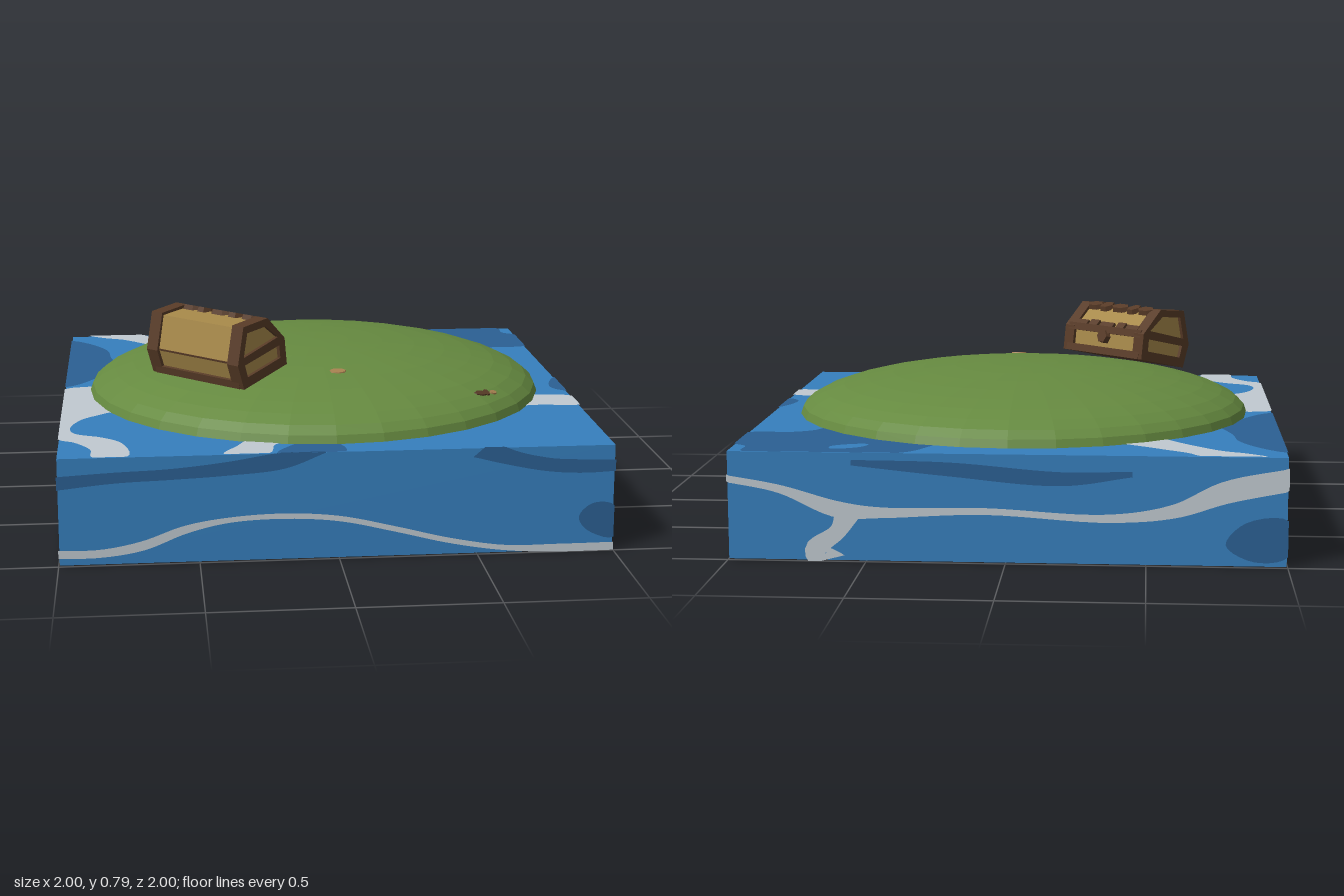
import * as THREE from 'three';

const mat = (name, color, extra = {}) => {
  const m = new THREE.MeshStandardMaterial({ color, ...extra });
  m.name = name;
  return m;
};

export function createModel() {
  const M = {
    water: mat('water blue', 0x367fbd),
    deep: mat('deep blue', 0x2b6093),
    foam: mat('foam grey', 0xc0c9d0),
    grass: mat('grass green', 0x668a40, { flatShading: true }),
    wood: mat('wood tan', 0xa68849, { flatShading: true }),
    trim: mat('dark brown trim', 0x583b27, { flatShading: true }),
    clay: mat('clay', 0xa88250),
  };
  const root = new THREE.Group();
  const add = (parent, name, geo, material, x = 0, y = 0, z = 0) => {
    const m = new THREE.Mesh(geo, material);
    m.name = name;
    m.position.set(x, y, z);
    parent.add(m);
    return m;
  };

  // Water block
  add(root, 'waterBlock', new THREE.BoxGeometry(1.992, 0.392, 1.992), M.water, 0, 0.2, 0);

  // Each face: rotation, plane distance, sign of the two face coordinates
  const faces = {
    front: { r: [0, 0], n: [0, 0, 1], s: [1, 1] },
    right: { r: [0, Math.PI / 2], n: [1, 0, 0], s: [-1, 1] },
    back: { r: [0, Math.PI], n: [0, 0, -1], s: [-1, 1] },
    left: { r: [0, -Math.PI / 2], n: [-1, 0, 0], s: [1, 1] },
    top: { r: [-Math.PI / 2, 0], n: [0, 1, 0], s: [1, -1], flat: true },
    bottom: { r: [Math.PI / 2, 0], n: [0, -1, 0], s: [1, 1], flat: true },
  };
  const plate = (face, layer, pts) => {
    const f = faces[face];
    const lim = THREE.MathUtils.clamp;
    const shape = new THREE.Shape(pts.map((p) => new THREE.Vector2(
      f.s[0] * lim(p.x, -1, 1), f.s[1] * lim(p.y, f.flat ? -1 : 0, f.flat ? 1 : 0.4))));
    const lift = { deep: 0.002, water: 0.003, foam: 0.004 }[layer] - 0.004;
    const m = add(root, face + '_' + layer, new THREE.ShapeGeometry(shape), M[layer]);
    m.rotation.set(f.r[0], f.r[1], 0);
    m.position.set(...f.n).multiplyScalar(1 + lift);
    if (face === 'top') m.position.y = 0.4 + lift;
    if (face === 'bottom') m.position.y = -lift;
  };
  // Patch: rounded outline; cut ends at the block edge stay straight by clamping
  const patch = (face, layer, list) => {
    const c = new THREE.CatmullRomCurve3(list.map(([a, b]) => new THREE.Vector3(a, b, 0)), true, 'centripetal');
    plate(face, layer, c.getPoints(list.length * 5).slice(0, -1));
  };
  // Stripe: centre line points with a width each
  const stripe = (face, layer, list) => {
    const c = new THREE.CatmullRomCurve3(list.map(([a, b, w]) => new THREE.Vector3(a, b, w)));
    const n = list.length * 6, one = [], two = [];
    for (let i = 0; i <= n; i++) {
      const p = c.getPoint(i / n), t = c.getTangent(i / n).setZ(0).normalize();
      const o = new THREE.Vector2(-t.y, t.x).multiplyScalar(p.z / 2);
      one.push(new THREE.Vector2(p.x + o.x, p.y + o.y));
      two.unshift(new THREE.Vector2(p.x - o.x, p.y - o.y));
    }
    plate(face, layer, one.concat(two));
  };

  // Top pattern (x, z)
  patch('top', 'foam', [[-0.92, -1], [-0.85, -0.94], [-0.77, -0.9], [-0.65, -0.78], [-0.5, -0.62], [-0.38, -0.73], [-0.53, -0.86], [-0.65, -0.95], [-0.69, -1]]);
  patch('top', 'foam', [[-1, 0], [-0.94, -0.03], [-0.88, -0.03], [-0.78, 0.1], [-0.78, 0.34], [-0.85, 0.41], [-0.92, 0.48], [-0.96, 0.6], [-0.94, 0.68], [-0.84, 0.74], [-0.77, 0.82], [-0.75, 1], [-0.87, 1], [-0.88, 0.9], [-0.94, 0.8], [-1, 0.75]]);
  patch('top', 'foam', [[-0.41, 1], [-0.36, 0.9], [-0.28, 0.78], [-0.12, 0.8], [-0.22, 0.89], [-0.25, 1]]);
  patch('top', 'foam', [[1, 0.29], [0.78, 0.28], [0.72, 0.42], [0.85, 0.42], [1, 0.43]]);
  patch('top', 'deep', [[-1, -0.9], [-0.93, -0.85], [-0.84, -0.7], [-0.82, -0.55], [-0.78, -0.35], [-0.87, -0.2], [-0.95, -0.08], [-1, -0.05]]);
  patch('top', 'deep', [[0.38, -1], [0.29, -0.88], [0.26, -0.75], [0.68, -0.38], [0.75, -0.55], [0.83, -0.6], [1, -0.62], [1, -0.85], [0.95, -0.9], [0.94, -1]]);
  patch('top', 'water', [[0.51, -0.84], [0.53, -0.9], [0.63, -0.94], [0.64, -0.89], [0.56, -0.84]]);
  patch('top', 'deep', [[-0.22, 1], [-0.18, 0.92], [-0.1, 0.85], [0, 0.88], [0.02, 1]]);
  patch('top', 'deep', [[1, -0.03], [0.96, 0.05], [0.95, 0.15], [1, 0.2]]);

  // Front pattern (x, y)
  stripe('front', 'foam', [[-1.02, 0.045, 0.03], [-0.85, 0.045, 0.03], [-0.7, 0.07, 0.035], [-0.55, 0.125, 0.03], [-0.4, 0.155, 0.02], [-0.2, 0.165, 0.02], [0, 0.15, 0.02], [0.2, 0.105, 0.02], [0.4, 0.055, 0.02], [0.6, 0.022, 0.02], [0.8, 0.015, 0.03], [1.02, 0.016, 0.03]]);
  stripe('front', 'deep', [[-1.02, 0.305, 0.05], [-0.8, 0.322, 0.04], [-0.6, 0.33, 0.04], [-0.4, 0.345, 0.05], [-0.2, 0.37, 0.06], [-0.05, 0.4, 0.01]]);
  stripe('front', 'deep', [[0.5, 0.41, 0.1], [0.6, 0.365, 0.06], [0.75, 0.33, 0.05], [0.88, 0.32, 0.05], [1.02, 0.32, 0.04]]);
  patch('front', 'deep', [[1, 0.17], [0.92, 0.18], [0.87, 0.13], [0.9, 0.08], [1, 0.05]]);

  // Right pattern (z, y)
  stripe('right', 'foam', [[0.45, 0.2, 0.05], [0.2, 0.245, 0.025], [0, 0.265, 0.022], [-0.2, 0.285, 0.022], [-0.4, 0.298, 0.022], [-0.7, 0.292, 0.022], [-1.02, 0.29, 0.022]]);
  patch('right', 'foam', [[0.48, 0.4], [0.45, 0.36], [0.55, 0.33], [0.68, 0.29], [0.71, 0.25], [0.65, 0.23], [0.53, 0.22], [0.6, 0.17], [0.66, 0.1], [0.75, 0.06], [0.82, 0.03], [1, 0.04], [1, 0], [0.1, 0], [0.2, 0.03], [0.33, 0.05], [0.42, 0.09], [0.53, 0.11], [0.53, 0.15], [0.4, 0.2], [0.42, 0.24], [0.47, 0.3], [0.38, 0.34], [0.32, 0.37], [0.31, 0.4]]);
  patch('right', 'deep', [[1, 0.28], [0.91, 0.26], [0.87, 0.2], [0.92, 0.1], [1, 0.05]]);
  stripe('right', 'deep', [[1.02, 0.33, 0.03], [0.9, 0.36, 0.035], [0.72, 0.39, 0.03], [0.58, 0.41, 0.03]]);
  patch('right', 'deep', [[-0.1, 0.4], [-0.25, 0.38], [-0.42, 0.373], [-0.6, 0.4]]);

  // Back pattern (x, y)
  stripe('back', 'foam', [[1.02, 0.3, 0.025], [0.81, 0.262, 0.03], [0.6, 0.19, 0.06], [0.45, 0.18, 0.04], [0.08, 0.19, 0.025], [-0.37, 0.17, 0.03], [-0.6, 0.2, 0.05], [-0.78, 0.27, 0.08], [-1.02, 0.32, 0.08]]);
  stripe('back', 'foam', [[0.56, 0.19, 0.1], [0.6, 0.11, 0.06], [0.68, 0.04, 0.08], [0.62, -0.02, 0.12]]);
  stripe('back', 'deep', [[0.55, 0.36, 0.02], [0.2, 0.34, 0.05], [-0.2, 0.31, 0.05], [-0.45, 0.33, 0.02]]);
  patch('back', 'deep', [[-1, 0.17], [-0.85, 0.16], [-0.78, 0.08], [-0.88, 0.02], [-1, 0.04]]);

  // Left pattern (z, y)
  stripe('left', 'foam', [[-1.02, 0.33, 0.07], [-0.6, 0.32, 0.06], [-0.3, 0.28, 0.06], [-0.1, 0.23, 0.08], [0, 0.15, 0.07], [-0.1, 0.08, 0.03]]);
  stripe('left', 'foam', [[0, 0.39, 0.03], [0.35, 0.38, 0.05], [0.75, 0.39, 0.03]]);
  stripe('left', 'foam', [[0, 0.14, 0.05], [0.4, 0.1, 0.025], [1.02, 0.045, 0.03]]);
  stripe('left', 'deep', [[0.4, 0.26, 0.02], [0.7, 0.28, 0.05], [1.02, 0.305, 0.05]]);

  // Bottom pattern (x, z)
  stripe('bottom', 'foam', [[1.04, 0.5, 0.2], [0.59, 0.52, 0.13], [0.18, 0.71, 0.16], [0.03, 1.04, 0.2]]);
  stripe('bottom', 'foam', [[1.03, 0.2, 0.12], [0.91, -0.22, 0.1], [0.68, -0.65, 0.1], [0.28, -1.03, 0.12]]);
  stripe('bottom', 'foam', [[-0.58, 1.03, 0.12], [-0.72, 0.74, 0.1], [-1.03, 0.62, 0.12]]);
  stripe('bottom', 'deep', [[-0.54, 0.69, 0.1], [-0.15, 0.4, 0.22], [-0.1, -0.07, 0.2], [-0.51, -0.51, 0.16], [-1.03, -0.9, 0.12]]);

  // Grassy mound
  const R = 0.897, H = 0.192;
  const mound = add(root, 'grassMound', new THREE.SphereGeometry(1, 32, 10, 0, Math.PI * 2, 0, Math.PI / 2), M.grass, 0, 0.398, 0.005);
  mound.scale.set(R, H, R);

  // Small pebbles sitting flush in the grass
  for (const [x, z, w, d, turn, m] of [[0.05, 0.465, 0.034, 0.025, 0, 'clay'],
    [0.585, 0.55, 0.034, 0.016, 0.5, 'trim'], [0.64, 0.51, 0.018, 0.012, 0.6, 'clay'], [0.61, 0.53, 0.015, 0.02, 0.2, 'trim']]) {
    const h = Math.sqrt(1 - (x * x + z * z) / (R * R));
    const g = new THREE.Group();
    g.name = 'pebble';
    g.position.set(x, 0.398 + H * h, z);
    g.quaternion.setFromUnitVectors(new THREE.Vector3(0, 1, 0), new THREE.Vector3(x / R / R, h / H, z / R / R).normalize());
    const p = add(g, 'pebbleTop', new THREE.CylinderGeometry(0.9, 1, 0.008, 7), M[m]);
    p.scale.set(w, 1, d);
    p.rotation.y = turn;
    root.add(g);
  }

  // Chest: profile in (width, height), extruded along its length
  const chest = new THREE.Group();
  chest.name = 'chest';
  chest.position.set(-0.394, 0.56, 0.354);
  chest.rotation.set(0, Math.PI / 4, 0.22);
  root.add(chest);
  const vec = (l) => l.map(([a, b]) => new THREE.Vector2(a, b));
  const extrude = (pts, holes, depth) => {
    const s = new THREE.Shape(vec(pts));
    holes.forEach((h) => s.holes.push(new THREE.Path(vec(h))));
    return new THREE.ExtrudeGeometry(s, { depth, bevelEnabled: false }).translate(0, 0, -depth / 2);
  };
  const outer = [[-0.125, 0], [0.125, 0], [0.135, 0.105], [0.06, 0.215], [-0.075, 0.232], [-0.137, 0.1]];
  const inner = [[-0.113, 0.01], [0.113, 0.01], [0.122, 0.105], [0.054, 0.204], [-0.07, 0.221], [-0.125, 0.1]];
  add(chest, 'woodBody', extrude(inner, [], 0.44), M.wood);
  const windows = [
    [[-0.1, 0.118], [0.1, 0.122], [0.043, 0.188], [-0.06, 0.202]],
    [[-0.095, 0.038], [0.095, 0.038], [0.1, 0.088], [-0.1, 0.088]],
  ];
  for (const s of [-1, 1]) add(chest, 'endFrame', extrude(outer, windows, 0.055), M.trim, 0, 0, s * 0.207);
  add(chest, 'baseBand', new THREE.BoxGeometry(0.256, 0.03, 0.43), M.trim, 0, 0.015, 0);
  add(chest, 'lidBand', new THREE.BoxGeometry(0.03, 0.03, 0.43), M.trim, 0.119, 0.103, 0);
  add(chest, 'backSeam', new THREE.BoxGeometry(0.006, 0.007, 0.38), M.trim, -0.123, 0.1, 0);

  // Ragged iron strips along the lid and the clasp on its inner side
  [[-0.15, 0.07], [-0.08, 0.045], [0, 0.075], [0.08, 0.05], [0.15, 0.065]].forEach(([z, w], i) => {
    const edge = add(chest, 'lidStrip', new THREE.CylinderGeometry(0.5, 0.55, 0.02, 6), M.trim, 0.058, 0.204, z);
    edge.scale.set(0.05 + 0.012 * (i % 2), 1, w * 1.25);
    edge.rotation.z = -0.5;
    const low = add(chest, 'shoulderStrip', new THREE.BoxGeometry(0.014, 0.025 + 0.012 * (i % 2), w), M.trim, 0.117, 0.122, z);
    low.rotation.z = 0.6;
  });
  const clasp = add(chest, 'clasp', new THREE.CylinderGeometry(0.028, 0.032, 0.03, 6), M.trim, 0.127, 0.075, 0);
  clasp.rotation.z = -Math.PI / 2;

  return root;
}
